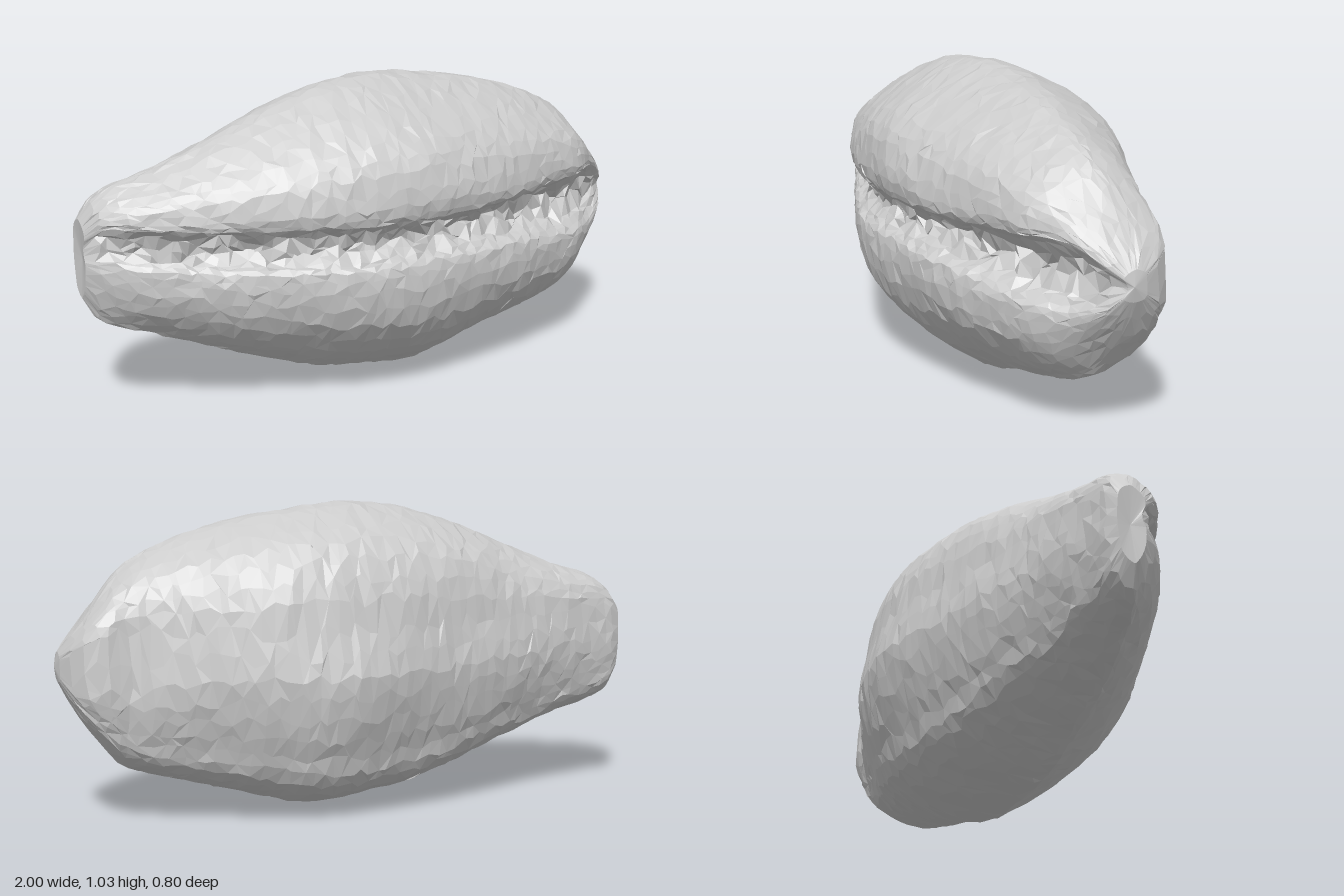
import * as THREE from 'three';

// Stations along the length: x, top, bottom, front z, back z, upper lip y, lower lip y, mouth depth
const stations = [
  [-1.00, 0.66, 0.40, 0.00, -0.10, 0.60, 0.53, 0.01],
  [-0.97, 0.71, 0.34, 0.04, -0.12, 0.64, 0.53, 0.025],
  [-0.90, 0.76, 0.30, 0.10, -0.135, 0.65, 0.52, 0.04],
  [-0.80, 0.79, 0.265, 0.16, -0.16, 0.64, 0.51, 0.05],
  [-0.60, 0.87, 0.19, 0.25, -0.21, 0.63, 0.49, 0.05],
  [-0.40, 0.95, 0.115, 0.33, -0.28, 0.63, 0.48, 0.05],
  [-0.20, 1.01, 0.05, 0.385, -0.34, 0.62, 0.47, 0.05],
  [0.00, 1.03, 0.02, 0.40, -0.39, 0.62, 0.47, 0.05],
  [0.15, 1.02, 0.005, 0.39, -0.40, 0.62, 0.47, 0.06],
  [0.40, 0.98, 0.065, 0.345, -0.35, 0.62, 0.46, 0.08],
  [0.60, 0.92, 0.115, 0.285, -0.255, 0.63, 0.44, 0.09],
  [0.75, 0.85, 0.16, 0.235, -0.195, 0.64, 0.42, 0.09],
  [0.80, 0.81, 0.19, 0.20, -0.185, 0.64, 0.42, 0.08],
  [0.86, 0.74, 0.26, 0.15, -0.17, 0.63, 0.42, 0.06],
  [0.92, 0.66, 0.34, 0.11, -0.155, 0.60, 0.44, 0.04],
  [0.97, 0.60, 0.43, 0.065, -0.09, 0.56, 0.46, 0.02],
  [0.99, 0.57, 0.47, 0.04, -0.04, 0.54, 0.49, 0.01],
];
const stationCurve = new THREE.CubicInterpolant(stations.map(s => s[0]), stations.flat(), 8);

// Cross-section: u across the depth, s up the height.
// s 0..1 is the upper half, -1..0 the mouth band, -2..-1 the lower half.
const profile = new THREE.SplineCurve([
  [0.97, 0], [1, 0.13], [0.94, 0.4], [0.78, 0.6], [0.5, 0.8], [0.2, 0.96], [0, 1],
  [-0.25, 0.93], [-0.62, 0.73], [-0.82, 0.44], [-0.91, 0.05], [-0.99, -0.85],
  [-0.93, -1.26], [-0.81, -1.55], [-0.7, -1.76], [-0.35, -1.92], [0.1, -2],
  [0.3, -1.93], [0.62, -1.75], [0.9, -1.46], [0.98, -1.18], [0.96, -1],
  [0.94, -0.85], [0.92, -0.6], [0.93, -0.25], [0.97, 0],
].map(p => new THREE.Vector2(...p)));

const mix = THREE.MathUtils.lerp;

function seededRandom(seed) {
  return () => {
    seed = (seed * 16807) % 2147483647;
    return seed / 2147483647 - 0.5;
  };
}

function shellGeometry(rings = 60, sides = 50) {
  const random = seededRandom(77);
  const positions = [], index = [];

  for (let i = 0; i <= rings; i++) {
    const inner = i > 0 && i < rings ? 1 : 0;
    for (let j = 0; j < sides; j++) {
      // slide each vertex along the surface for an irregular, scanned-looking mesh
      const x = mix(-1, 0.99, (i + random() * 0.7 * inner) / rings);
      const { x: u, y: s } = profile.getPoint(((j + random() * 0.6 * inner) / sides + 1) % 1);
      const [, top, bottom, front, back, lipU, lipL, depth] = stationCurve.evaluate(x);
      let y = s > 0 ? mix(lipU, top, s) : s > -1 ? mix(lipU, lipL, -s) : mix(lipL, bottom, -s - 1);
      let z = (front + back) / 2 + u * (front - back) / 2;
      // mouth groove with a ragged floor
      if (u > 0 && s < 0 && s > -1) {
        const open = Math.sin(Math.PI * -s);
        z -= depth * open;
        y += random() * 0.05 * open * inner;
        z += random() * 0.03 * open * inner;
      }
      // shallow crease where the back of the shell meets the end flap
      if (u < 0) z += 0.022 * u * u * Math.exp(-(((x - 0.79) / 0.04) ** 2));
      // gentle lumps
      const lump = 0.004 * Math.sin(11 * x + 9 * y) * inner;
      positions.push(x, y + random() * 0.007 * inner, z + lump + random() * 0.007 * inner);
    }
  }

  for (let i = 0; i < rings; i++) {
    for (let j = 0; j < sides; j++) {
      const k = (j + 1) % sides;
      const a = i * sides + j, b = a + sides, c = (i + 1) * sides + k, d = i * sides + k;
      if ((i + j) % 2) index.push(a, b, c, a, c, d);
      else index.push(a, b, d, b, c, d);
    }
  }

  // end caps: blunt on one side, pointed on the other
  const leftCap = positions.length / 3, rightCap = leftCap + 1;
  positions.push(-0.99, 0.53, -0.05, 1, 0.52, 0.01);
  for (let j = 0; j < sides; j++) {
    const k = (j + 1) % sides;
    index.push(leftCap, j, k, rightCap, rings * sides + k, rings * sides + j);
  }

  const geometry = new THREE.BufferGeometry();
  geometry.setAttribute('position', new THREE.Float32BufferAttribute(positions, 3));
  geometry.setIndex(index);
  geometry.computeVertexNormals();
  return geometry;
}

export function createModel() {
  const group = new THREE.Group();
  group.name = 'splitShell';
  const material = new THREE.MeshStandardMaterial({ color: 0xcccccc, flatShading: true });
  const shell = new THREE.Mesh(shellGeometry(), material);
  shell.name = 'shell';
  group.add(shell);
  return group;
}
